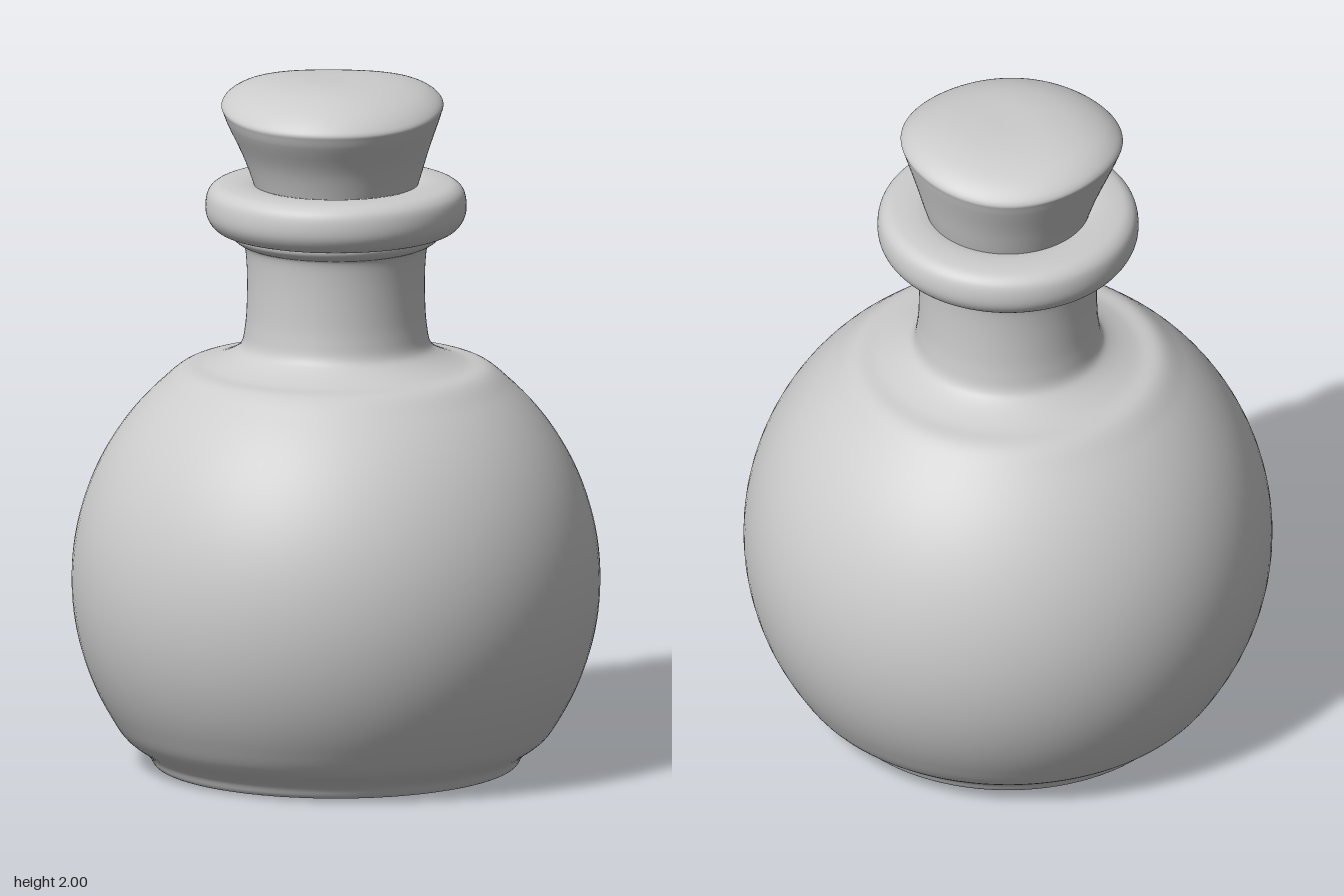
import * as THREE from 'three';

const SEG = 96;

// Smooth curve through a few [radius, height] points
function smooth(points, n) {
  const curve = new THREE.CatmullRomCurve3(points.map(([r, y]) => new THREE.Vector3(r, y, 0)), false, 'centripetal');
  return curve.getPoints(n).map((p) => new THREE.Vector2(Math.max(p.x, 0), p.y));
}

function lathe(name, profile, material) {
  const mesh = new THREE.Mesh(new THREE.LatheGeometry(profile, SEG), material);
  mesh.name = name;
  return mesh;
}

export function createModel() {
  const model = new THREE.Group();
  model.name = 'corkedFlask';
  const grey = new THREE.MeshStandardMaterial({ color: 0xcccccc });
  grey.name = 'plain grey';

  // Round body with a slightly recessed underside, sweeping into the neck
  const sphere = [];
  for (let i = 0; i <= 14; i++) {
    const a = THREE.MathUtils.lerp(-0.64, 0.95, i / 14);
    sphere.push([0.757 * Math.cos(a), 0.54 + 0.757 * Math.sin(a)]);
  }
  const body = smooth([
    [0, 0.03], [0.38, 0.03], [0.42, 0.025], [0.46, 0.006], [0.49, 0], [0.52, 0.004], [0.54, 0.035],
    ...sphere,
    [0.37, 1.17], [0.3, 1.2], [0.272, 1.225], [0.26, 1.28], [0.255, 1.36], [0.256, 1.46], [0.262, 1.51], [0.27, 1.525],
  ], 150);
  model.add(lathe('body', body, grey));

  // Thin collar under the lip
  model.add(lathe('collar', smooth([
    [0.255, 1.515], [0.28, 1.525], [0.297, 1.54], [0.3, 1.555], [0.28, 1.565],
  ], 20), grey));

  // Rounded lip, closed inward around the stopper
  model.add(lathe('lip', smooth([
    [0.25, 1.553], [0.31, 1.553], [0.345, 1.565], [0.368, 1.595], [0.374, 1.63],
    [0.366, 1.67], [0.345, 1.69], [0.31, 1.698], [0.26, 1.698], [0.22, 1.69],
  ], 50), grey));

  // Flared stopper with an uneven rim and a domed top
  const side = smooth([[0.225, 1.66], [0.238, 1.7], [0.265, 1.78], [0.305, 1.875], [0.314, 1.9]], 16);
  const dome = smooth([
    [0.314, 1.9], [0.318, 1.915], [0.308, 1.932], [0.27, 1.96], [0.2, 1.985], [0.11, 1.998], [0, 2],
  ], 32);
  const stopper = lathe('stopper', [...side, ...dome.slice(1)], grey);
  const pos = stopper.geometry.attributes.position;
  for (let i = 0; i < pos.count; i++) {
    const x = pos.getX(i), y = pos.getY(i), z = pos.getZ(i);
    const r = Math.hypot(x, z), a = Math.atan2(z, x);
    // Rim dips toward the front and rises toward the back
    const wave = -0.016 * Math.sin(a) + 0.01 * Math.cos(2 * a) - 0.006 * Math.sin(3 * a);
    const weight = THREE.MathUtils.smoothstep(y, 1.74, 1.9) * Math.pow(Math.min(r / 0.31, 1), 2);
    const lean = THREE.MathUtils.smoothstep(y, 1.7, 1.92);
    pos.setXYZ(i, x - 0.01 * lean, y + wave * weight, z + 0.008 * lean);
  }
  stopper.geometry.computeVertexNormals();
  // Join the normals across the lathe seam
  const nor = stopper.geometry.attributes.normal;
  const rows = side.length + dome.length - 1;
  for (let j = 0; j < rows; j++) {
    const k = SEG * rows + j;
    const n = new THREE.Vector3().fromBufferAttribute(nor, j).add(new THREE.Vector3().fromBufferAttribute(nor, k)).normalize();
    nor.setXYZ(j, n.x, n.y, n.z);
    nor.setXYZ(k, n.x, n.y, n.z);
  }
  model.add(stopper);

  return model;
}
